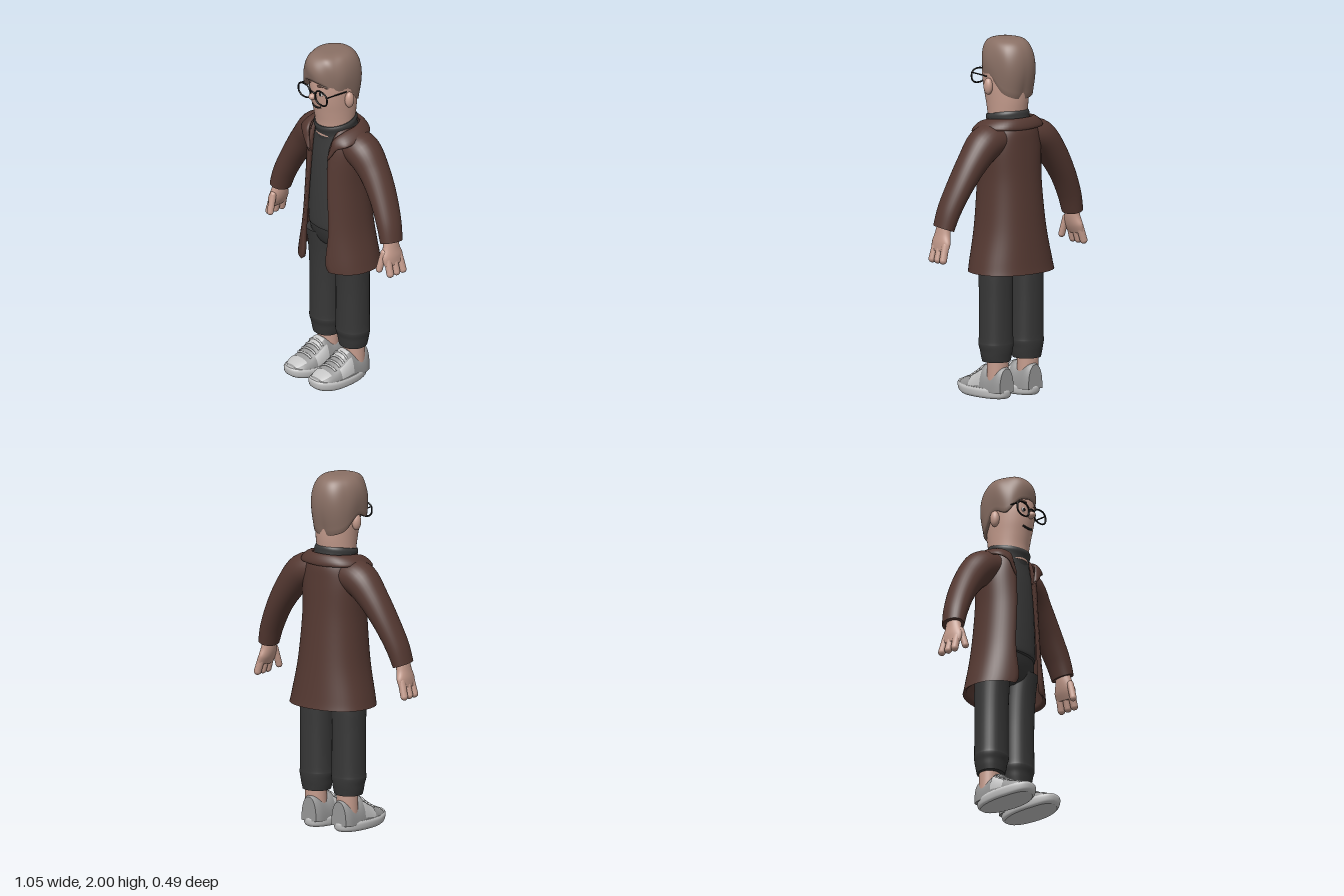
import * as THREE from 'three';

const mat = (name, color, side = THREE.FrontSide) => new THREE.MeshStandardMaterial({ name, color, side });
const M = {
  skin: mat('skin', 0xc59c8d), hair: mat('hair', 0x8a7065), brow: mat('brow', 0x5f463c),
  coat: mat('coat', 0x553932, THREE.DoubleSide), knit: mat('knit', 0x3a3a3a), trousers: mat('trousers', 0x373737),
  black: mat('black', 0x161616), white: mat('white', 0xe6e6e6),
  shoe: mat('shoe', 0x979797), light: mat('light', 0xc6c6c6, THREE.DoubleSide),
};
const V = (x, y, z) => new THREE.Vector3(x, y, z);

// Smooth interpolation through the rows of a table
function cr(p, t) {
  const n = p.length - 1, f = Math.min(Math.max(t, 0) * n, n - 1e-6), i = Math.floor(f), w = f - i;
  const [P, Q, R, S] = [p[Math.max(i - 1, 0)], p[i], p[i + 1], p[Math.min(i + 2, n)]];
  return Q.map((b, k) => {
    const a = P[k], c = R[k], d = S[k];
    return b + 0.5 * w * (c - a + w * (2 * a - 5 * b + 4 * c - d + w * (3 * (b - c) + d - a)));
  });
}
const pow = (v, p) => Math.sign(v) * Math.abs(v) ** (2 / p);

// Grid surface from a rule; wrap closes it across the columns
function grid(rows, cols, fn, wrap = true) {
  const pos = [], idx = [], w = wrap ? cols : cols + 1;
  for (let i = 0; i <= rows; i++) for (let j = 0; j < w; j++) pos.push(...fn(i, j).toArray());
  for (let i = 0; i < rows; i++) for (let j = 0; j < cols; j++) {
    const a = i * w + j, d = i * w + (j + 1) % w, b = a + w, c = d + w;
    idx.push(a, b, c, a, c, d);
  }
  const g = new THREE.BufferGeometry();
  g.setAttribute('position', new THREE.Float32BufferAttribute(pos, 3));
  g.setIndex(idx);
  g.computeVertexNormals();
  return g;
}

// Ring rule for rows of [x, y, z, halfWidth, halfDepth] along a path
const ringRule = (table, { up = V(0, 0, 1), axis, p = 2 } = {}) => (t, a, off = 0) => {
  const [x, y, z, ru, rv] = cr(table, t);
  const lo = cr(table, Math.max(t - 0.01, 0)), hi = cr(table, Math.min(t + 0.01, 1));
  const T = axis ? axis.clone() : V(hi[0] - lo[0], hi[1] - lo[1], hi[2] - lo[2]).normalize();
  const W = up.clone().addScaledVector(T, -up.dot(T)).normalize(), U = T.clone().cross(W);
  return V(x, y, z).addScaledVector(U, (ru + off) * pow(Math.cos(a), p))
    .addScaledVector(W, (rv + off) * pow(Math.sin(a), p));
};
// Capped loft with crisp end edges
function loft(table, opt, n = 28, cols = 32) {
  const f = ringRule(table, opt), c = (t) => V(...cr(table, t).slice(0, 3));
  return grid(n + 4, cols, (i, j) => {
    if (i === 0) return c(0);
    if (i === n + 4) return c(1);
    return f(Math.min(Math.max((i - 2) / n, 0), 1), j / cols * Math.PI * 2);
  });
}
const flat = { axis: V(0, 1, 0) };
const rows = (list) => list.map(([y, z, rx, rz]) => [0, y, z, rx, rz]);

function add(parent, name, geo, material) {
  const m = new THREE.Mesh(geo, material);
  m.name = name;
  parent.add(m);
  return m;
}
function ball(parent, name, material, c, r) {
  const m = add(parent, name, new THREE.SphereGeometry(1, 24, 16), material);
  m.position.set(...c);
  m.scale.set(...r);
}
function capsule(parent, name, material, p, q, r) {
  const a = V(...p), d = V(...q).sub(a), m = add(parent, name, new THREE.CapsuleGeometry(r, d.length(), 6, 14), material);
  m.position.copy(a).addScaledVector(d, 0.5);
  m.quaternion.setFromUnitVectors(V(0, 1, 0), d.normalize());
}
const tube = (pts, r, closed = false, n = 24) =>
  new THREE.TubeGeometry(new THREE.CatmullRomCurve3(pts, closed), n, r, 8, closed);

const HEAD = rows([[1.5, -0.015, 0.105, 0.11], [1.575, -0.015, 0.107, 0.114], [1.65, -0.012, 0.112, 0.127],
  [1.725, -0.005, 0.118, 0.138], [1.8, 0, 0.121, 0.141], [1.875, -0.005, 0.117, 0.135], [1.95, -0.02, 0.08, 0.09]]);
function faceZ(x, y) {
  const [, , z, rx, rz] = cr(HEAD, (y - 1.5) / 0.45);
  return z + rz * Math.sqrt(Math.max(0, 1 - (x / rx) ** 2));
}

// Full swept hair whose hem follows forehead, sideburns, ears and nape
function hairGeo() {
  const hem = [1.85, 1.835, 1.765, 1.785, 1.705, 1.675, 1.665].map((y) => [y]);
  const n = 30, cols = 80;
  return grid(n, cols, (i, j) => {
    const a = Math.PI / 2 - j / cols * Math.PI * 2, turn = Math.abs(Math.atan2(Math.sin(a), Math.cos(a))) / Math.PI;
    const t = Math.max(0, (i - 2) / (n - 2)), f = t * Math.PI / 2;
    const h = cr(hem, turn)[0] - 0.02 * Math.max(0, Math.sin(-a)) * (1 - turn);
    let r = Math.max(Math.cos(f), 0) ** 0.48 * (1 - 0.07 * (1 - t) ** 6) * (1 - 0.24 * turn ** 2.5 * (1 - t) ** 4);
    if (i < 2) r *= [0.6, 0.94][i];
    r *= 1 + 0.03 * Math.sin(5 * a + 6 * t) * (1 - turn) + 0.05 * Math.max(0, Math.cos(a + 0.55)) - 0.08 * Math.max(0, Math.cos(a - 0.7));
    const y = h + (1.995 - h) * Math.sin(f) ** 0.78 + (i === 0 ? 0.02 : 0);
    const depth = Math.cos(a) < 0 ? 0.182 : 0.168;
    return V(-0.008 + 0.148 * r * pow(Math.sin(a), 2.2), y, -0.005 + depth * r * pow(Math.cos(a), 2.2));
  });
}

// Open coat body, double walled; rows of [y, halfWidth, front, back, openingHalfWidth]
function coatGeo() {
  const table = [[0.703, 0.25, 0.15, -0.243, 0.115], [0.76, 0.238, 0.15, -0.235, 0.093], [0.95, 0.2, 0.142, -0.215, 0.1],
    [1.2, 0.178, 0.132, -0.194, 0.083], [1.4, 0.178, 0.115, -0.182, 0.076], [1.5, 0.15, 0.1, -0.172, 0.088], [1.55, 0.12, 0.08, -0.14, 0.1]];
  const n = 36, cols = 96, p = 2.25, half = cols / 2;
  return grid(n, cols, (i, j) => {
    const t = i / n, [y, rx, zf, zb, xo] = cr(table, t);
    const a0 = Math.asin(Math.min(1, xo / rx) ** (p / 2)), inner = j >= half;
    const u = inner ? 1 - (j - half) / (half - 1) : j / (half - 1), a = a0 + (2 * Math.PI - 2 * a0) * u;
    const th = inner ? 0.018 * Math.min(1, 14 * t, 14 * (1 - t)) : 0;
    return V((rx - th) * pow(Math.sin(a), p), y, (zf + zb) / 2 + ((zf - zb) / 2 - th) * pow(Math.cos(a), p));
  });
}

// Folded collar with lapel points, between an inner and an outer edge
function collarGeo() {
  const full = (h) => [...h, ...h.slice(0, -1).reverse().map(([x, y, z]) => [-x, y, z])];
  const inner = full([[0.07, 1.385, 0.102], [0.085, 1.44, 0.097], [0.098, 1.5, 0.085], [0.118, 1.535, 0.035],
    [0.123, 1.552, -0.05], [0.08, 1.557, -0.12], [0, 1.558, -0.14]]);
  const outer = full([[0.076, 1.372, 0.105], [0.108, 1.412, 0.102], [0.138, 1.455, 0.095], [0.186, 1.48, 0.055],
    [0.188, 1.5, -0.06], [0.125, 1.5, -0.148], [0, 1.497, -0.174]]);
  return grid(72, 16, (i, j) => {
    const b = j / 16 * Math.PI * 2, t = i / 72;
    const c = V(...cr(inner, t)).lerp(V(...cr(outer, t)), 0.5 - 0.5 * Math.cos(b));
    return c.clone().addScaledVector(V(c.x, 0.13, c.z).normalize(), 0.015 * Math.sin(b) + 0.006);
  });
}

function buildHead(root) {
  const g = new THREE.Group();
  g.name = 'head';
  root.add(g);
  add(g, 'faceAndNeck', loft(HEAD, flat, 28, 40), M.skin);
  add(g, 'hair', hairGeo(), M.hair);
  ball(g, 'nose', M.skin, [0, 1.757, 0.148], [0.021, 0.02, 0.027]);
  const smile = [-0.036, -0.02, 0, 0.02, 0.036].map((x) => V(x, 1.683 + 7 * x * x, faceZ(x, 1.685)));
  add(g, 'mouth', tube(smile, 0.006), M.black);
  for (const s of [1, -1]) {
    ball(g, 'ear', M.skin, [s * 0.13, 1.735, -0.005], [0.024, 0.047, 0.028]);
    ball(g, 'eyeWhite', M.white, [s * 0.045, 1.78, faceZ(0.045, 1.78)], [0.014, 0.013, 0.005]);
    ball(g, 'pupil', M.black, [s * 0.043, 1.78, faceZ(0.045, 1.78) + 0.004], [0.009, 0.01, 0.004]);
    add(g, 'eyebrow', tube([0.027, 0.05, 0.074].map((x, k) => V(s * x, [1.825, 1.832, 1.823][k], faceZ(x, 1.83))), 0.007), M.brow);
    // Glasses: rounded rim and arm on each side
    const rim = Array.from({ length: 24 }, (_, k) => k / 24 * Math.PI * 2).map((a) =>
      V(s * (0.07 + 0.049 * pow(Math.cos(a), 2.4)), 1.77 + 0.04 * pow(Math.sin(a), 2.4), 0.15));
    add(g, 'glassesRim', tube(rim, 0.0048, true, 48), M.black);
    add(g, 'glassesArm', tube([V(s * 0.118, 1.79, 0.15), V(s * 0.123, 1.79, 0.08), V(s * 0.122, 1.785, 0.01)], 0.004), M.black);
  }
  add(g, 'glassesBridge', tube([V(-0.022, 1.781, 0.15), V(0, 1.788, 0.155), V(0.022, 1.781, 0.15)], 0.0045), M.black);
}

function buildArm(g) {
  add(g, 'sleeve', loft([[0.09, 1.45, -0.045, 0.085, 0.1], [0.19, 1.425, -0.05, 0.098, 0.103], [0.28, 1.335, -0.053, 0.083, 0.09],
    [0.365, 1.21, -0.045, 0.068, 0.082], [0.43, 1.08, -0.03, 0.06, 0.075], [0.462, 0.98, -0.02, 0.053, 0.068]]), M.coat);
  add(g, 'palm', loft([[0.458, 1.01, -0.02, 0.034, 0.042], [0.465, 0.95, -0.016, 0.034, 0.054],
    [0.476, 0.9, -0.015, 0.031, 0.07], [0.488, 0.855, -0.018, 0.021, 0.064]]), M.skin);
  for (const z of [0.026, -0.02, -0.066]) capsule(g, 'finger', M.skin, [0.482, 0.89, z * 0.9], [0.505, 0.811, z], 0.021);
  capsule(g, 'thumb', M.skin, [0.462, 0.93, 0.035], [0.455, 0.835, 0.062], 0.019);
}

function buildLeg(g) {
  const leg = [[0.205, -0.05, 0.077, 0.075], [0.235, -0.05, 0.084, 0.08], [0.265, -0.05, 0.089, 0.085], [0.3, -0.047, 0.096, 0.091],
    [0.34, -0.047, 0.094, 0.09], [0.55, -0.047, 0.092, 0.09], [0.72, -0.043, 0.093, 0.095], [0.86, -0.027, 0.09, 0.1]];
  add(g, 'trouserLeg', loft(leg.map(([y, z, rx, rz]) => [0.109, y, z, rx, rz]), { ...flat, p: 2.2 }, 42), M.trousers);
  add(g, 'ankle', loft([[0.108, 0.1, -0.06, 0.062, 0.058], [0.108, 0.24, -0.06, 0.06, 0.058]], flat, 4), M.skin);
  // Sole with toe spring and narrower heel
  const sole = loft([[0, 0.08, 0.17], [0.012, 0.09, 0.185], [0.04, 0.094, 0.19], [0.055, 0.088, 0.184]]
    .map(([y, rx, rz]) => [0, y, 0.055, rx, rz]), { ...flat, p: 2.5 }, 12, 48);
  const p = sole.attributes.position;
  for (let i = 0; i < p.count; i++) {
    const z = p.getZ(i);
    p.setX(i, 0.103 + p.getX(i) * (1 - 0.16 * Math.max(0, (0.05 - z) / 0.19)));
    p.setY(i, p.getY(i) + 0.018 * Math.max(0, (z - 0.1) / 0.145) ** 2);
  }
  sole.computeVertexNormals();
  add(g, 'sole', sole, M.light);
  // Upper, cut off level inside the sole
  const upper = [[-0.132, 0.17, 0.05], [-0.1, 0.18, 0.067], [-0.04, 0.165, 0.076], [0.01, 0.183, 0.08], [0.06, 0.15, 0.083],
    [0.12, 0.112, 0.085], [0.18, 0.09, 0.077], [0.226, 0.068, 0.05]].map(([z, top, rx]) => [0.103, 0.04, z, rx, top - 0.04]);
  const opt = { axis: V(0, 0, 1), up: V(0, 1, 0), p: 2.3 }, rule = ringRule(upper, opt);
  const shell = loft(upper, opt, 32, 40), q = shell.attributes.position;
  for (let i = 0; i < q.count; i++) q.setY(i, Math.max(q.getY(i), 0.035));
  shell.computeVertexNormals();
  add(g, 'shoeUpper', shell, M.shoe);
  // Light panels and laces lie just over the upper
  const panel = (name, t0, t1, a0, a1) => add(g, name, grid(10, 12, (i, j) =>
    rule(t0 + (t1 - t0) * i / 10, a0 + (a1 - a0) * j / 12, 0.004), false), M.light);
  panel('toePanel', 0.79, 0.95, 0.85, Math.PI - 0.85);
  panel('outerPanel', 0.42, 0.66, 0.15, 0.85);
  panel('innerPanel', 0.42, 0.66, Math.PI - 0.85, Math.PI - 0.15);
  panel('tongue', 0.42, 0.56, 1.15, Math.PI - 1.15);
  for (const t of [0.5, 0.57, 0.64, 0.71]) {
    add(g, 'lace', tube([0.95, 1.25, 1.57, 1.89, 2.19].map((a) => rule(t, a, 0.003)), 0.006), M.light);
  }
}

export function createModel() {
  const root = new THREE.Group();
  root.name = 'figure';
  buildHead(root);
  // Clothing on the trunk
  const neck = add(root, 'turtleneck', loft(rows([[-0.09, 0, 0.118, 0.12], [-0.04, 0, 0.116, 0.12], [-0.01, 0, 0.119, 0.124],
    [0.006, 0, 0.112, 0.117]]), flat, 14, 40), M.knit);
  neck.position.set(0, 1.578, -0.014);
  neck.rotation.x = 0.19;
  add(root, 'sweater', loft(rows([[0.93, -0.015, 0.158, 0.122], [0.97, -0.015, 0.16, 0.126], [1.15, -0.02, 0.15, 0.13],
    [1.35, -0.025, 0.145, 0.126], [1.48, -0.03, 0.122, 0.118], [1.54, -0.02, 0.105, 0.11]]), { ...flat, p: 2.3 }), M.knit);
  add(root, 'trouserHips', loft(rows([[0.78, -0.045, 0.1, 0.05], [0.81, -0.04, 0.16, 0.09], [0.88, -0.03, 0.18, 0.108],
    [0.97, -0.02, 0.155, 0.115]]), { ...flat, p: 2.3 }), M.trousers);
  add(root, 'coatBody', coatGeo(), M.coat);
  add(root, 'coatCollar', collarGeo(), M.coat);
  // Mirrored limbs
  for (const s of [1, -1]) {
    const side = new THREE.Group();
    side.name = s > 0 ? 'leftLimbs' : 'rightLimbs';
    side.scale.x = s;
    buildArm(side);
    buildLeg(side);
    root.add(side);
  }
  return root;
}
